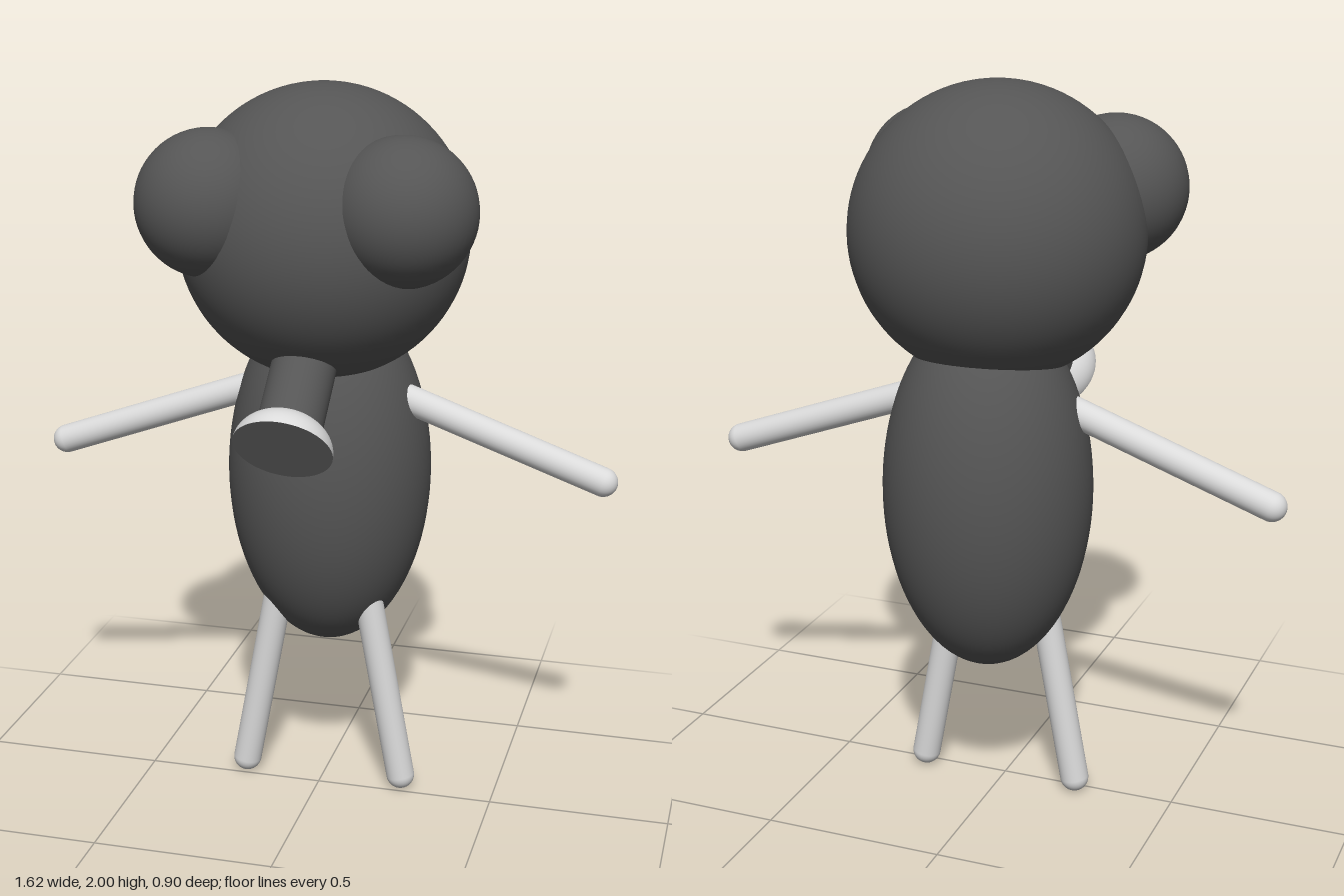
import * as THREE from 'three';

const dark = new THREE.MeshStandardMaterial({ color: 0x555555 });
dark.name = 'charcoal';
const pale = new THREE.MeshStandardMaterial({ color: 0xdadada });
pale.name = 'pale grey';
const mid = new THREE.MeshStandardMaterial({ color: 0x808080 });
mid.name = 'mid grey';

const UP = new THREE.Vector3(0, 1, 0);

function add(parent, name, geometry, material, x = 0, y = 0, z = 0) {
  const mesh = new THREE.Mesh(geometry, material);
  mesh.name = name;
  mesh.position.set(x, y, z);
  parent.add(mesh);
  return mesh;
}

// Round-ended rod between two points
function limb(parent, name, from, to, radius) {
  const a = new THREE.Vector3(...from);
  const b = new THREE.Vector3(...to);
  const mid = a.clone().add(b).multiplyScalar(0.5);
  const geometry = new THREE.CapsuleGeometry(radius, a.distanceTo(b), 12, 32);
  const mesh = add(parent, name, geometry, pale, mid.x, mid.y, mid.z);
  mesh.quaternion.setFromUnitVectors(UP, b.sub(a).normalize());
}

export function createModel() {
  const model = new THREE.Group();
  model.name = 'figure';

  // Body and head
  const body = add(model, 'body', new THREE.SphereGeometry(1, 64, 48), dark, 0, 0.92, -0.127);
  body.scale.set(0.283, 0.505, 0.283);
  add(model, 'head', new THREE.SphereGeometry(0.393, 64, 48), dark, 0, 1.607, -0.055);

  // Ears, arms and legs in mirrored pairs
  for (const [side, s] of [['left', 1], ['right', -1]]) {
    add(model, side + 'Ear', new THREE.SphereGeometry(0.194, 48, 32), dark, s * 0.257, 1.705, 0.142);
    limb(model, side + 'Arm', [s * 0.1, 1.195, -0.085], [s * 0.768, 0.955, -0.085], 0.04);
    const shift = 0.007;
    limb(model, side + 'Leg', [s * 0.125 + shift, 0.6, -0.027], [s * 0.228 + shift, 0.042, -0.027], 0.04);
  }

  // Snout: local +y points forward and down, origin at the centre of the flat end
  const snout = new THREE.Group();
  snout.name = 'snout';
  snout.position.set(0, 1.125, 0.365);
  snout.quaternion.setFromUnitVectors(UP, new THREE.Vector3(0, -0.644, 0.765).normalize());
  model.add(snout);

  add(snout, 'snoutTube', new THREE.CylinderGeometry(0.086, 0.086, 0.36, 48), dark, 0, -0.245, 0.013);

  // Domed cup with a flat face
  const cup = add(snout, 'snoutCup',
    new THREE.SphereGeometry(0.131, 48, 24, 0, Math.PI * 2, Math.PI / 2, Math.PI / 2), pale);
  cup.scale.y = 0.73;
  const face = add(snout, 'snoutFace', new THREE.CircleGeometry(0.131, 48), mid);
  face.rotation.x = -Math.PI / 2;

  return model;
}
